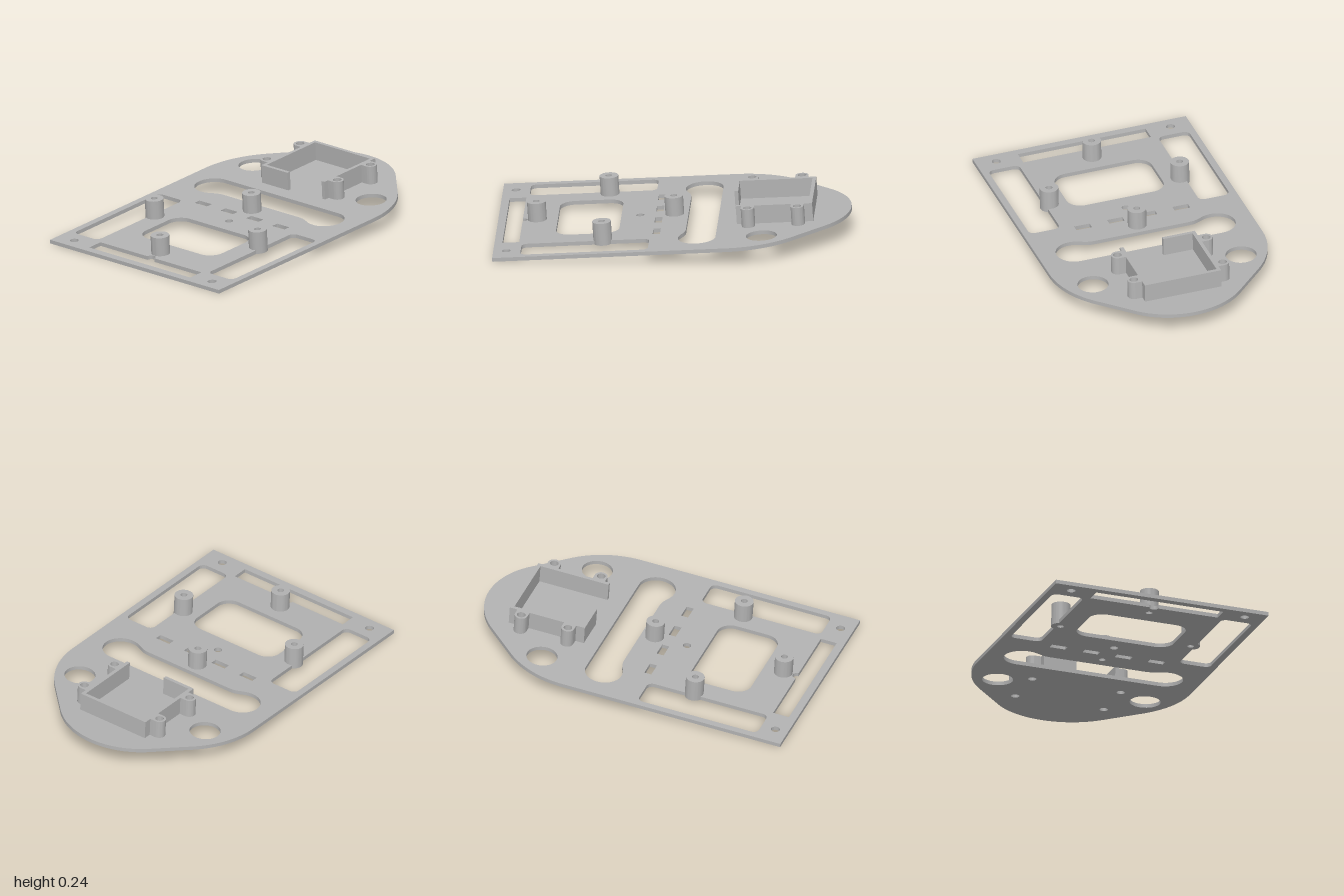
import * as THREE from 'three';
import { toCreasedNormals } from 'three/addons/utils/BufferGeometryUtils.js';

const TILT = 0.0625, THICK = 0.022, RISE = 0.108;

// Shapes are drawn as (x, -z) and extruded upward from height y0.
function slab(name, shape, y0, height, material) {
  let geo = new THREE.ExtrudeGeometry(shape, { depth: height, bevelEnabled: false, curveSegments: 20 });
  geo.rotateX(-Math.PI / 2);
  geo.translate(0, y0, 0);
  geo = toCreasedNormals(geo, 0.5);
  const mesh = new THREE.Mesh(geo, material);
  mesh.name = name;
  return mesh;
}

function circle(x, z, r, Type = THREE.Path) {
  const p = new Type();
  p.absarc(x, -z, r, 0, Math.PI * 2, false);
  return p;
}

// Rounded rectangle between x0..x1 and z0..z1
function roundedRect(x0, x1, z0, z1, r) {
  const p = new THREE.Path(), b = -z1, t = -z0;
  p.moveTo(x0 + r, b);
  p.lineTo(x1 - r, b);
  p.absarc(x1 - r, b + r, r, -Math.PI / 2, 0, false);
  p.absarc(x1 - r, t - r, r, 0, Math.PI / 2, false);
  p.absarc(x0 + r, t - r, r, Math.PI / 2, Math.PI, false);
  p.absarc(x0 + r, b + r, r, Math.PI, Math.PI * 1.5, false);
  return p;
}

function polygon(points) {
  return new THREE.Shape(points.map(([x, z]) => new THREE.Vector2(x, -z)));
}

export function createModel() {
  const grey = new THREE.MeshStandardMaterial({ color: 0xb2b2b2 });
  grey.name = 'grey plastic';
  const model = new THREE.Group();
  model.name = 'mountingPlate';
  const tilted = new THREE.Group();
  tilted.name = 'tiltedAssembly';
  tilted.rotation.x = TILT;
  tilted.position.y = Math.sin(TILT);
  model.add(tilted);

  const posts = [[0, 0], [-0.39, 0.387], [0.39, 0.387], [0, 0.777]];
  const lugs = [];
  for (const s of [-1, 1]) for (const z of [-0.712, -0.43]) lugs.push([s * 0.265, z, s]);

  // Base plate: square front, tapered and rounded back
  const plate = new THREE.Shape();
  plate.moveTo(-0.637, -1);
  plate.lineTo(0.637, -1);
  plate.lineTo(0.637, 0.318);
  plate.bezierCurveTo(0.637, 0.459, 0.581, 0.594, 0.481, 0.694);
  plate.lineTo(0.307, 0.873);
  plate.bezierCurveTo(0.226, 0.954, 0.115, 1, 0, 1);
  plate.bezierCurveTo(-0.115, 1, -0.226, 0.954, -0.307, 0.873);
  plate.lineTo(-0.481, 0.694);
  plate.bezierCurveTo(-0.581, 0.594, -0.637, 0.459, -0.637, 0.318);

  // Wide slot with bulging ends
  const slot = new THREE.Path();
  slot.moveTo(-0.28, 0.078);
  slot.lineTo(0.28, 0.078);
  slot.bezierCurveTo(0.35, 0.078, 0.36, 0.04, 0.425, 0.04);
  slot.absarc(0.425, 0.1465, 0.1065, -Math.PI / 2, Math.PI / 2, false);
  slot.lineTo(-0.425, 0.253);
  slot.absarc(-0.425, 0.1465, 0.1065, Math.PI / 2, Math.PI * 1.5, false);
  slot.bezierCurveTo(-0.36, 0.04, -0.35, 0.078, -0.28, 0.078);

  // Front slot with a small round notch in its rear edge
  const front = new THREE.Path();
  front.moveTo(-0.381, -0.955);
  front.lineTo(0.381, -0.955);
  front.lineTo(0.381, -0.86);
  front.lineTo(0.026, -0.86);
  front.absarc(0, -0.86, 0.026, 0, Math.PI, false);
  front.lineTo(-0.381, -0.86);
  front.closePath();

  plate.holes.push(slot, front, roundedRect(-0.288, 0.288, 0.302, 0.661, 0.085), circle(0, 0.196, 0.023));
  for (const s of [-1, 1]) {
    const c = s * 0.5065;
    plate.holes.push(
      circle(s * 0.442, -0.513, 0.088),
      circle(s * 0.52, 0.926, 0.025),
      roundedRect(c - 0.0915, c + 0.0915, 0.122, 0.844, 0.035),
    );
  }
  for (const x of [-0.293, -0.097, 0.097, 0.293]) {
    plate.holes.push(roundedRect(x - 0.046, x + 0.046, 0.066, 0.108, 0.002));
  }
  for (const [x, z] of posts) plate.holes.push(circle(x, z, 0.019));
  for (const [x, z] of lugs) plate.holes.push(circle(x, z, 0.024));
  tilted.add(slab('basePlate', plate, 0, THICK, grey));

  // Hollow standoff posts
  for (const [x, z] of posts) {
    const ring = circle(x, z, 0.053, THREE.Shape);
    ring.holes.push(circle(x, z, 0.019));
    tilted.add(slab('standoffPost', ring, 0.001, THICK + RISE, grey));
  }

  // Open tray wall with a partial front side
  const tray = polygon([
    [-0.228, -0.342], [-0.032, -0.342], [-0.032, -0.363], [-0.207, -0.363],
    [-0.207, -0.774], [0.207, -0.774], [0.207, -0.363], [0.228, -0.363],
    [0.228, -0.795], [-0.228, -0.795],
  ]);
  tilted.add(slab('trayWall', tray, THICK - 0.001, RISE, grey));

  // Screw lugs on the tray sides
  for (const [x, z, s] of lugs) {
    const r = 0.037, lug = new THREE.Shape();
    lug.moveTo(s * 0.222, -z - s * r);
    lug.lineTo(x, -z - s * r);
    const a = s > 0 ? -Math.PI / 2 : Math.PI / 2;
    lug.absarc(x, -z, r, a, a + Math.PI, false);
    lug.lineTo(s * 0.222, -z + s * r);
    lug.closePath();
    lug.holes.push(circle(x, z, 0.024));
    tilted.add(slab('screwLug', lug, THICK - 0.001, RISE, grey));
  }
  return model;
}
